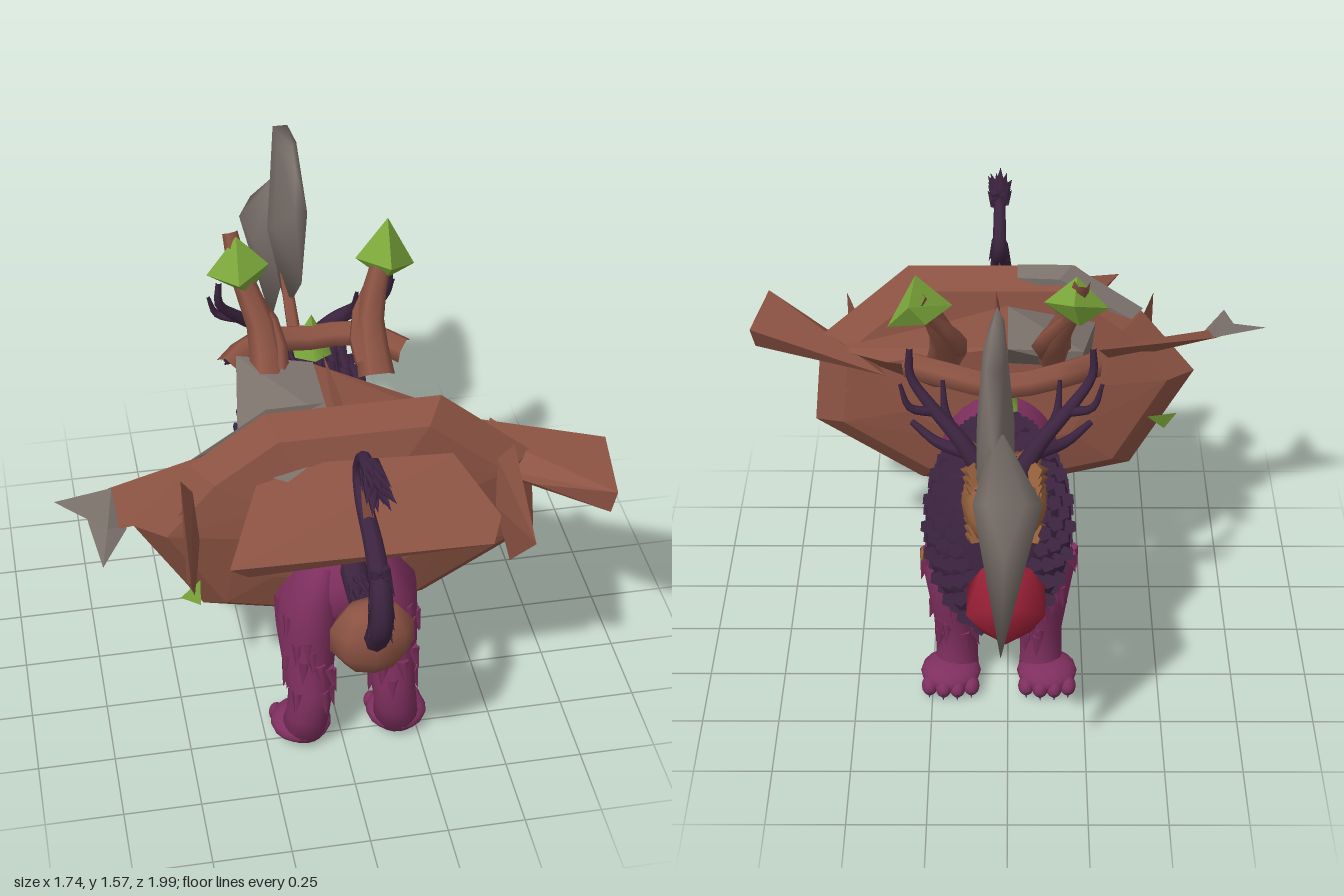
import * as THREE from 'three';
import { ConvexGeometry } from 'three/addons/geometries/ConvexGeometry.js';
import { mergeVertices } from 'three/addons/utils/BufferGeometryUtils.js';

const mat = (name, color) => {
  const m = new THREE.MeshStandardMaterial({ color });
  m.name = name;
  return m;
};
const V = (p) => new THREE.Vector3(p[0], p[1], p[2]);

// Weld a faceted geometry so that its shading is smooth
const soften = (geo) => {
  geo.deleteAttribute('normal');
  geo.deleteAttribute('uv');
  const g = mergeVertices(geo, 1e-4);
  g.computeVertexNormals();
  return g;
};

export function createModel() {
  const model = new THREE.Group();
  const M = {
    hide: mat('plum hide', 0x7e2f5e),
    mane: mat('dark mane', 0x3c2440),
    fur: mat('tan fur', 0x95603c),
    clay: mat('brown clay', 0x8c5343),
    stone: mat('grey stone', 0x7c726c),
    leaf: mat('leaf green', 0x7ba63a),
    red: mat('berry red', 0x9a2036),
  };
  let seed = 7;
  const rnd = () => (seed = (seed * 16807) % 2147483647) / 2147483647;

  const add = (name, geo, m, pos = [0, 0, 0]) => {
    const mesh = new THREE.Mesh(geo, m);
    mesh.name = name;
    mesh.position.set(...pos);
    model.add(mesh);
    return mesh;
  };
  const hull = (name, pts, m) => add(name, new ConvexGeometry(pts.map(V)), m);
  const softHull = (name, pts, m) => add(name, soften(new ConvexGeometry(pts.map(V))), m);

  // Closed loft: each row is [zA, yA, zB, yB, halfWidth, centreX], an oval ring between points A and B
  const ringPoint = (r, a) => {
    const s = Math.sin(a) / 2;
    return [r[5] + r[4] * Math.cos(a), (r[1] + r[3]) / 2 + (r[1] - r[3]) * s, (r[0] + r[2]) / 2 + (r[0] - r[2]) * s];
  };
  const between = (rows, t) => {
    const i = Math.min(Math.floor(t), rows.length - 2);
    return rows[i].map((v, k) => v + (rows[i + 1][k] - v) * (t - i));
  };
  const loft = (name, rows, m, seg = 20) => {
    const pos = [], idx = [], n = rows.length;
    rows.forEach((r) => { for (let i = 0; i < seg; i++) pos.push(...ringPoint(r, (i / seg) * Math.PI * 2)); });
    for (const r of [rows[0], rows[n - 1]]) pos.push(r[5], (r[1] + r[3]) / 2, (r[0] + r[2]) / 2);
    for (let i = 0; i < seg; i++) {
      const k = (i + 1) % seg, e = (n - 1) * seg;
      for (let j = 0; j < n - 1; j++) {
        const a = j * seg + i, b = j * seg + k;
        idx.push(a, b, a + seg, b, b + seg, a + seg);
      }
      idx.push(n * seg, k, i, n * seg + 1, e + i, e + k);
    }
    // turn the faces outward by the sign of the enclosed volume
    let vol = 0;
    const P = (i) => new THREE.Vector3(pos[i * 3], pos[i * 3 + 1], pos[i * 3 + 2]);
    for (let i = 0; i < idx.length; i += 3) vol += P(idx[i]).dot(P(idx[i + 1]).cross(P(idx[i + 2])));
    if (vol < 0) idx.reverse();
    const g = new THREE.BufferGeometry();
    g.setAttribute('position', new THREE.Float32BufferAttribute(pos, 3));
    g.setIndex(idx);
    g.computeVertexNormals();
    return add(name, g, m);
  };

  // Tube along a curve that narrows from r0 to r1
  const taper = (name, pts, r0, r1, m, sides = 8, steps = 16) => {
    const c = new THREE.CatmullRomCurve3(pts.map(V));
    const g = new THREE.TubeGeometry(c, steps, 1, sides);
    const p = g.attributes.position, v = new THREE.Vector3();
    for (let i = 0; i < p.count; i++) {
      const t = Math.floor(i / (sides + 1)) / steps, o = c.getPointAt(t);
      v.fromBufferAttribute(p, i).sub(o).multiplyScalar(r0 + (r1 - r0) * t).add(o);
      p.setXYZ(i, v.x, v.y, v.z);
    }
    return add(name, g, m);
  };
  // Pointed lock of fur
  const spike = (name, at, dir, r, h, m, sides = 5) => {
    const s = add(name, new THREE.ConeGeometry(r, h, sides), m, at);
    s.quaternion.setFromUnitVectors(new THREE.Vector3(0, 1, 0), V(dir).normalize());
    return s;
  };
  const blob = (name, at, s, m) => add(name, new THREE.SphereGeometry(1, 16, 10), m, at).scale.set(...s);

  // Body
  const cx = 0.03;
  loft('body', [
    [0.56, 0.69, 0.56, 0.53, 0.08, cx], [0.5, 0.77, 0.49, 0.45, 0.17, cx], [0.35, 0.8, 0.33, 0.4, 0.2, cx],
    [0.15, 0.79, 0.15, 0.31, 0.2, cx], [-0.1, 0.79, -0.06, 0.27, 0.21, cx], [-0.3, 0.8, -0.28, 0.26, 0.18, cx],
    [-0.4, 0.7, -0.42, 0.4, 0.1, cx]], M.hide, 28);

  // Legs with paws, toes and tufts
  for (const s of [-1, 1]) {
    const hx = cx + s * 0.135, fx = cx + s * 0.14;
    const hind = [
      [0.53, 0.72, 0.34, 0.72, 0.05, cx + s * 0.09], [0.58, 0.6, 0.27, 0.58, 0.1, cx + s * 0.12], [0.575, 0.46, 0.27, 0.4, 0.105, hx - s * 0.01],
      [0.57, 0.36, 0.38, 0.29, 0.085, hx], [0.6, 0.25, 0.44, 0.22, 0.072, hx], [0.6, 0.14, 0.46, 0.15, 0.07, hx + s * 0.01],
      [0.57, 0.03, 0.42, 0.04, 0.075, hx + s * 0.02]];
    const fore = [
      [-0.05, 0.66, -0.27, 0.66, 0.06, cx + s * 0.12], [-0.02, 0.57, -0.34, 0.55, 0.105, cx + s * 0.125], [-0.06, 0.45, -0.37, 0.44, 0.11, fx],
      [-0.13, 0.3, -0.34, 0.3, 0.085, fx], [-0.16, 0.18, -0.31, 0.19, 0.068, fx], [-0.18, 0.08, -0.32, 0.09, 0.07, fx],
      [-0.2, 0.02, -0.33, 0.02, 0.075, fx]];
    loft('hindLeg', hind, M.hide);
    loft('foreLeg', fore, M.hide);
    for (const [px, pz] of [[hx + s * 0.025, 0.475], [fx + s * 0.02, -0.29]]) {
      blob('paw', [px, 0.05, pz], [0.1, 0.05, 0.1], M.hide);
      for (let i = 0; i < 4; i++) {
        const tx = px + (i - 1.5) * 0.046, tz = pz - 0.08 + Math.abs(i - 1.5) * 0.012;
        blob('toe', [tx, 0.033, tz], [0.027, 0.033, 0.035], M.hide);
        spike('claw', [tx, 0.022, tz - 0.035], [0, -0.4, -1], 0.009, 0.03, M.mane);
      }
    }
    for (const leg of [hind, fore]) for (let i = 0; i < 30; i++) {
      const a = i * 2.4, p = ringPoint(between(leg, 1.3 + rnd() * 3.2), a);
      spike('legTuft', p, [Math.cos(a) * 0.25, -1, Math.sin(a) * 0.2 + 0.1], 0.022, 0.085, M.hide);
    }
  }
  blob('shoulderPatch', [0.277, 0.5, -0.26], [0.009, 0.02, 0.03], M.fur);

  // Mane with overlapping locks lying close to it
  const maneRows = [
    [0.12, 0.8, -0.25, 0.4, 0.2, cx], [0.0, 0.87, -0.33, 0.28, 0.225, cx], [-0.16, 0.95, -0.42, 0.33, 0.235, cx],
    [-0.3, 0.96, -0.465, 0.47, 0.19, cx], [-0.38, 0.9, -0.47, 0.58, 0.12, cx]];
  loft('mane', maneRows, M.mane, 28);
  for (let j = 0; j < 8; j++) for (let i = 0; i < 24; i++) {
    const a = ((i + (j % 2) / 2) / 24) * Math.PI * 2, p = ringPoint(between(maneRows, j / 2), a);
    const up = Math.sin(a);
    spike('maneLock', p, [Math.cos(a) * 0.12, -0.35 - up * 0.15, 0.7 + up * 0.2], 0.026, 0.11 + rnd() * 0.03, M.mane);
  }

  // Head
  loft('head', [
    [-0.32, 0.95, -0.38, 0.65, 0.12, 0.01], [-0.41, 0.975, -0.46, 0.68, 0.135, 0.01], [-0.49, 0.93, -0.52, 0.7, 0.11, 0.01],
    [-0.55, 0.86, -0.56, 0.72, 0.072, 0.01], [-0.61, 0.82, -0.61, 0.73, 0.055, 0.01], [-0.64, 0.79, -0.63, 0.74, 0.035, 0.01]], M.fur, 18);
  loft('jaw', [[-0.42, 0.73, -0.42, 0.64, 0.07, 0.01], [-0.53, 0.73, -0.53, 0.65, 0.055, 0.01], [-0.61, 0.73, -0.6, 0.68, 0.04, 0.01]], M.hide, 12);
  blob('nose', [0.01, 0.8, -0.635], [0.026, 0.018, 0.015], M.mane);
  for (const s of [-1, 1]) {
    spike('ear', [0.01 + s * 0.1, 0.99, -0.39], [s * 0.6, 1, 0.2], 0.045, 0.11, M.fur, 6);
    spike('brow', [0.01 + s * 0.06, 0.905, -0.525], [s, 0.5, 0.3], 0.02, 0.08, M.mane);
    blob('eye', [0.01 + s * 0.07, 0.87, -0.535], [0.013, 0.011, 0.011], M.mane);
    for (let i = 0; i < 9; i++) spike('cheekTuft', [0.01 + s * 0.115, 0.69 + i * 0.03, -0.42], [s * 0.5, -0.5, 0.9], 0.028, 0.11, M.fur);
    // Antlers
    const ax = (x) => 0.02 + s * x;
    taper('antler', [[ax(0.05), 0.92, -0.44], [ax(0.12), 1.02, -0.4], [ax(0.22), 1.12, -0.34], [ax(0.28), 1.2, -0.3], [ax(0.28), 1.29, -0.29]], 0.034, 0.01, M.mane);
    taper('antlerTine', [[ax(0.13), 1.03, -0.4], [ax(0.17), 1.09, -0.35], [ax(0.18), 1.19, -0.31]], 0.02, 0.006, M.mane, 6, 8);
    taper('antlerTine', [[ax(0.2), 1.1, -0.35], [ax(0.28), 1.12, -0.36], [ax(0.31), 1.2, -0.35]], 0.018, 0.006, M.mane, 6, 8);
    taper('antlerTine', [[ax(0.1), 0.98, -0.4], [ax(0.2), 0.97, -0.32], [ax(0.28), 1.0, -0.25]], 0.026, 0.01, M.mane, 6, 8);
  }

  // Red ball in the mouth
  add('redBall', soften(new THREE.IcosahedronGeometry(0.142, 0)), M.red, [0.005, 0.615, -0.67]);

  // Tail, its brown ball and tuft
  taper('tailRoot', [[cx, 0.73, 0.5], [cx, 0.69, 0.62], [cx, 0.7, 0.8]], 0.045, 0.03, M.mane);
  add('tailBall', new THREE.SphereGeometry(0.135, 8, 5), M.clay, [0.03, 0.7, 0.815]).scale.set(1, 1, 0.65);
  taper('tail', [[cx, 0.72, 0.86], [cx, 0.86, 0.95], [cx, 0.97, 0.93], [cx, 1.05, 0.82], [cx, 1.1, 0.65], [cx, 1.17, 0.6],
    [cx, 1.25, 0.65], [cx, 1.28, 0.75], [cx, 1.3, 0.85]], 0.04, 0.016, M.mane, 8, 40);
  for (let i = 0; i < 22; i++) {
    const a = i * 2.4, t = i / 22, x = cx + Math.cos(a) * 0.028;
    spike('tailTuft', [x, 1.28 + Math.sin(a) * 0.03, 0.77 + t * 0.11], [Math.cos(a) * 0.3, Math.sin(a) * 0.3, 1], 0.022, 0.1, M.mane);
    spike('tailLock', [x, 0.8 + t * 0.2, 0.91 + Math.sin(t * 3) * 0.03], [Math.cos(a) * 0.3, -1, 0.3], 0.02, 0.1, M.mane);
    spike('tailRootLock', [x, 0.71 + Math.sin(a) * 0.025, 0.54 + t * 0.2], [Math.cos(a) * 0.3, Math.sin(a) * 0.3, 1], 0.018, 0.08, M.mane);
  }

  // Great upright shell across the back, a faceted lens of nested rings
  const rim = [[-0.22, 1.23], [0.33, 1.23], [0.63, 0.97], [0.66, 0.65], [0.3, 0.42], [0, 0.38], [-0.42, 0.48], [-0.63, 0.84], [-0.45, 1.06]];
  const shell = [];
  for (const [x, y] of rim) for (const [k, d] of [[1, 0], [0.85, -0.065], [0.85, 0.07], [0.5, -0.09], [0.5, 0.11]]) {
    shell.push([x * k, 0.82 + (y - 0.82) * k, 0.36 - (1.24 - y) * 0.04 + d]);
  }
  hull('shell', shell, M.clay);
  hull('shellStripe', [[-0.45, 1.075, 0.35], [-0.21, 1.238, 0.35], [-0.03, 1.24, 0.35],
    [-0.41, 1.055, 0.31], [-0.17, 1.205, 0.31], [-0.03, 1.21, 0.31]], M.stone);

  // Slabs around the shell
  hull('rearSlab', [[-0.39, 0.98, 0.77], [-0.05, 1.1, 0.46], [0.35, 1.08, 0.46], [-0.26, 1.03, 0.45], [0.46, 0.97, 0.65],
    [0.42, 0.93, 0.73], [-0.33, 0.92, 0.74], [-0.1, 0.86, 0.42], [0.2, 0.86, 0.42]], M.clay);
  hull('rearPatch', [[-0.21, 1.057, 0.455], [-0.1, 1.093, 0.465], [-0.17, 1.07, 0.5], [-0.15, 1.05, 0.46]], M.stone);
  hull('frontSlab', [[0, 1.13, -0.01], [0.4, 1.0, 0.12], [0.6, 0.95, 0.3], [0, 1.12, 0.3], [0, 0.82, 0.26], [0.25, 0.82, 0.26],
    [0, 1.02, 0]], M.clay);
  hull('stoneSlab', [[-0.29, 1.06, 0.28], [-0.24, 1.15, -0.07], [0, 1.13, -0.02], [0, 1.12, 0.28], [-0.28, 0.96, 0.28], [-0.23, 1.09, -0.06],
    [0, 0.95, 0.2]], M.stone);
  hull('wingLeft', [[0.4, 0.96, 0.1], [0.87, 0.99, 0.35], [0.83, 0.99, 0.63], [0.82, 0.9, 0.61], [0.86, 0.9, 0.4], [0.62, 0.92, 0.46],
    [0.45, 0.9, 0.3]], M.clay);
  hull('wingRight', [[-0.3, 1.0, 0.2], [-0.7, 0.98, 0.32], [-0.69, 0.93, 0.46], [-0.5, 0.92, 0.42], [-0.35, 0.9, 0.3]], M.clay);
  hull('wingTip', [[-0.87, 0.99, 0.37], [-0.69, 0.98, 0.32], [-0.68, 0.93, 0.45], [-0.72, 0.95, 0.48]], M.stone);
  hull('wingTip', [[-0.69, 0.97, 0.33], [-0.75, 0.92, 0.62], [-0.66, 0.92, 0.45], [-0.78, 0.96, 0.4]], M.stone);
  for (const [s, x] of [[-1, -0.47], [1, 0.525]]) hull('sideFin', [[x + s * 0.02, 1.08, 0.45], [x - s * 0.02, 1.0, 0.41],
    [x - s * 0.03, 0.85, 0.46], [x, 0.7, 0.55], [x + s * 0.03, 0.9, 0.72], [x + s * 0.02, 0.72, 0.5]], M.clay);
  hull('backFin', [[0.03, 1.28, 0.74], [0.03, 1.15, 0.6], [0.05, 1.05, 0.74], [0.01, 1.05, 0.74], [0.03, 1.04, 0.58]], M.clay);
  hull('topFin', [[0.03, 1.17, 0.0], [0.04, 1.18, 0.28], [0.02, 1.08, 0.28], [0.05, 1.08, 0.1]], M.clay);
  hull('shard', [[0.57, 0.9, 0.07], [0.52, 0.88, 0.14], [0.61, 0.92, 0.17], [0.57, 0.87, 0.13]], M.clay);
  hull('leafShard', [[-0.46, 0.81, 0.09], [-0.56, 0.8, 0.13], [-0.52, 0.74, 0.2], [-0.52, 0.74, 0.13]], M.leaf);
  hull('leafShard', [[-0.45, 0.75, 0.53], [-0.52, 0.74, 0.59], [-0.46, 0.71, 0.6], [-0.48, 0.72, 0.54]], M.leaf);

  // Branches with leaf caps
  for (const [s, x] of [[-1, -0.21], [1, 0.26]]) {
    taper('branch', [[x - s * 0.06, 1.08, 0.02], [x - s * 0.06, 1.22, -0.1], [x, 1.4, -0.2], [x + s * 0.015, 1.47 - s * 0.03, -0.25]], 0.06, 0.025, M.clay, 6, 5);
    taper('branchFork', [[x - s * 0.09, 1.12, 0], [x - s * 0.1, 1.2, -0.1], [x - s * 0.01, 1.36, -0.2]], 0.04, 0.02, M.clay, 5, 4);
  }
  hull('leafCap', [[-0.21, 1.5, -0.22], [-0.31, 1.38, -0.2], [-0.18, 1.32, -0.16], [-0.11, 1.4, -0.2], [-0.22, 1.39, -0.1],
    [-0.2, 1.44, -0.3], [-0.22, 1.35, -0.26]], M.leaf);
  hull('leafCap', [[0.28, 1.51, -0.23], [0.17, 1.39, -0.2], [0.26, 1.32, -0.17], [0.37, 1.33, -0.23], [0.27, 1.39, -0.11],
    [0.3, 1.43, -0.29], [0.25, 1.36, -0.27]], M.leaf);
  taper('crossBranch', [[-0.27, 1.1, -0.07], [-0.16, 1.12, -0.17], [0.02, 1.1, -0.2], [0.18, 1.12, -0.17], [0.31, 1.1, -0.07]], 0.045, 0.045, M.clay, 6, 8);
  spike('leafBud', [0.03, 1.11, -0.215], [0, 1, 0], 0.07, 0.14, M.leaf, 6);

  // Large stone blade over the head, carried on a stick
  softHull('bladeUpper', [[0.02, 1.22, -0.34], [0.01, 1.45, -0.4], [0.05, 1.45, -0.4], [0.03, 1.55, -0.5], [0.04, 1.57, -0.62],
    [0.005, 1.53, -0.72], [0.07, 1.53, -0.72], [0.01, 1.53, -0.84], [0.06, 1.53, -0.84], [0.04, 1.3, -0.88], [0.03, 0.89, -0.88],
    [0.02, 0.92, -0.72], [0.02, 1.06, -0.5], [-0.02, 1.25, -0.65], [0.09, 1.25, -0.65], [-0.02, 1.15, -0.8], [0.09, 1.15, -0.8]], M.stone);
  softHull('bladeLower', [[0.03, 1.36, -0.83], [-0.05, 1.18, -0.98], [0.06, 1.18, -0.98], [0.01, 1.0, -1.0], [0.02, 0.64, -0.99],
    [0.02, 0.88, -0.89], [0.02, 1.0, -0.72], [-0.1, 1.14, -0.92], [0.1, 1.14, -0.92], [-0.07, 1.1, -0.82], [0.08, 1.1, -0.82]], M.stone);
  taper('stick', [[0.02, 0.88, -0.44], [0.02, 0.95, -0.54], [0.02, 1.04, -0.68]], 0.025, 0.02, M.clay, 5, 3);
  return model;
}
